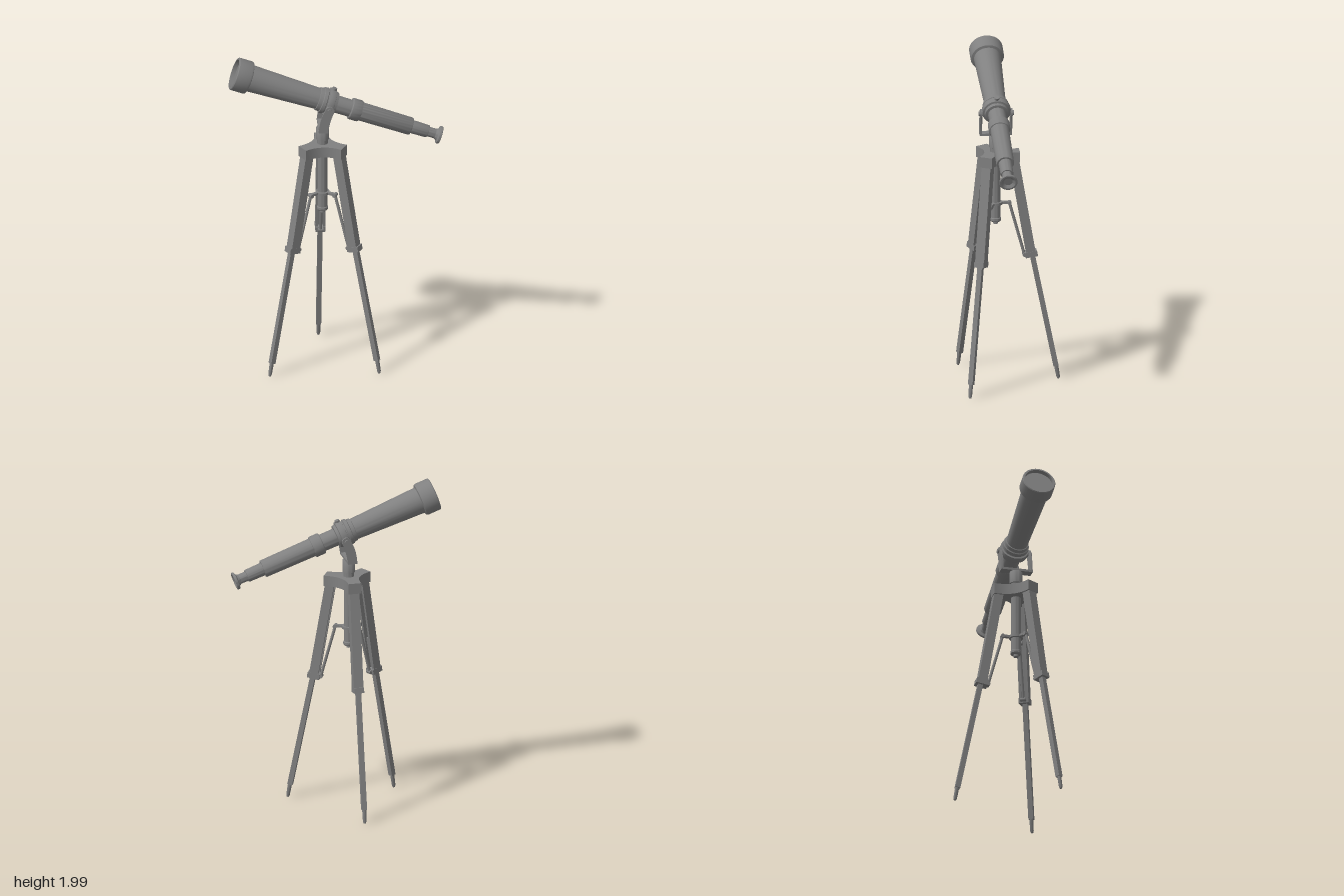
import * as THREE from 'three';
import { toCreasedNormals } from 'three/addons/utils/BufferGeometryUtils.js';

const material = new THREE.MeshStandardMaterial({ color: 0x808080 });

function add(parent, name, geometry, x = 0, y = 0, z = 0) {
  const mesh = new THREE.Mesh(geometry, material);
  mesh.name = name;
  mesh.position.set(x, y, z);
  parent.add(mesh);
  return mesh;
}

function group(parent, name) {
  const g = new THREE.Group();
  g.name = name;
  parent.add(g);
  return g;
}

const box = (x, y, z) => new THREE.BoxGeometry(x, y, z);
const cyl = (top, bottom, h, n = 24) => new THREE.CylinderGeometry(top, bottom, h, n);

// Turned part from [radius, height] pairs, listed from the bottom up
function turned(points, n = 40) {
  const lathe = new THREE.LatheGeometry(points.map(([r, y]) => new THREE.Vector2(r, y)), n);
  return toCreasedNormals(lathe, 0.6);
}

// Pivot group lying between two [z, y] points, its y axis running along them
function strut(parent, name, [z0, y0], [z1, y1]) {
  const g = group(parent, name);
  g.position.set(0, (y0 + y1) / 2, (z0 + z1) / 2);
  g.rotation.x = Math.atan2(z1 - z0, y1 - y0);
  g.userData.length = Math.hypot(z1 - z0, y1 - y0);
  return g;
}

// One leg, leaning out towards local +z
function addLeg(parent, name, angle) {
  const leg = group(parent, name);
  leg.rotation.y = angle;

  // Upper leg: channel open towards the centre
  const upper = strut(leg, 'upperLeg', [0.213, 0.78], [0.107, 1.4]);
  const len = upper.userData.length;
  add(upper, 'outerWall', box(0.058, len, 0.015), 0, 0, 0.02);
  for (const s of [-1, 1]) add(upper, 'sideWall', box(0.014, len, 0.055), s * 0.022, 0, 0);
  add(upper, 'clamp', box(0.06, 0.033, 0.074), 0, -len / 2 + 0.01, 0);

  // Sliding lower leg and foot
  const lower = strut(leg, 'lowerLeg', [0.36, 0.085], [0.175, 1.0]);
  add(lower, 'lowerBar', box(0.03, lower.userData.length, 0.03));
  const foot = strut(leg, 'foot', [0.376, 0.003], [0.359, 0.1]);
  add(foot, 'footPeg', turned([[0, -0.049], [0.007, -0.048], [0.011, -0.035], [0.013, 0.049], [0, 0.049]], 12));

  // Folding brace with a hinge at each end
  const brace = strut(leg, 'brace', [0.172, 0.785], [0.083, 1.11]);
  add(brace, 'braceRod', cyl(0.009, 0.009, brace.userData.length, 10));
  add(leg, 'braceArm', box(0.022, 0.014, 0.06), 0, 1.113, 0.055);
  for (const [y, z] of [[1.11, 0.083], [0.785, 0.172]]) {
    add(leg, 'hinge', cyl(0.012, 0.012, 0.034, 14), 0, y, z).rotation.z = Math.PI / 2;
  }
}

// Three-armed plate with concave sides
function headPlateGeometry() {
  const shape = new THREE.Shape();
  const polar = (r, a) => [r * Math.cos(a), r * Math.sin(a)];
  const reach = Math.hypot(0.143, 0.04), spread = Math.atan2(0.04, 0.143);
  for (let i = 0; i < 3; i++) {
    const a = Math.PI / 2 + i * Math.PI * 2 / 3;
    if (i === 0) shape.moveTo(...polar(reach, a - spread));
    shape.lineTo(...polar(reach, a + spread));
    shape.quadraticCurveTo(...polar(0.03, a + Math.PI / 3), ...polar(reach, a + Math.PI * 2 / 3 - spread));
  }
  const g = new THREE.ExtrudeGeometry(shape, { depth: 0.065, bevelEnabled: false, curveSegments: 12 });
  g.rotateX(-Math.PI / 2);
  return toCreasedNormals(g, 0.5);
}

// Curved side plate of the fork, in the x-y plane
function forkPlateGeometry() {
  const s = new THREE.Shape();
  s.moveTo(-0.028, 1.54);
  s.lineTo(0.028, 1.54);
  s.quadraticCurveTo(0.034, 1.61, 0.064, 1.675);
  s.absarc(0.038, 1.683, 0.027, -0.3, Math.PI - 0.1, false);
  s.quadraticCurveTo(-0.024, 1.63, -0.028, 1.54);
  const g = new THREE.ExtrudeGeometry(s, { depth: 0.012, bevelEnabled: false, curveSegments: 14 });
  g.translate(0, 0, -0.006);
  return toCreasedNormals(g, 0.5);
}

export function createModel() {
  const model = new THREE.Group();
  model.name = 'telescopeOnTripod';
  const stand = group(model, 'stand');
  stand.position.set(-0.083, 0, 0.09);

  // Tripod
  const tripod = group(stand, 'tripod');
  add(tripod, 'headPlate', headPlateGeometry(), 0, 1.37, 0);
  addLeg(tripod, 'backLeg', Math.PI);
  addLeg(tripod, 'frontLeftLeg', Math.PI / 3);
  addLeg(tripod, 'frontRightLeg', -Math.PI / 3);
  add(tripod, 'centreColumn', turned([
    [0, 0.985], [0.015, 0.985], [0.015, 1.0], [0.028, 1.0], [0.033, 1.006], [0.033, 1.02], [0.029, 1.025],
    [0.029, 1.435], [0.032, 1.435], [0.032, 1.46], [0.038, 1.463], [0.038, 1.535], [0.035, 1.54], [0, 1.54],
  ], 28));
  add(tripod, 'braceHub', cyl(0.042, 0.042, 0.016, 28), 0, 1.113, 0);

  // Fork holding the tube
  const fork = group(stand, 'fork');
  add(fork, 'forkBase', box(0.056, 0.014, 0.19), 0, 1.547, 0);
  for (const s of [-1, 1]) {
    add(fork, 'forkPlate', forkPlateGeometry(), 0, 0, s * 0.09);
    add(fork, 'pivotKnob', cyl(0.014, 0.014, 0.03, 18), 0.036, 1.683, s * 0.09).rotation.x = Math.PI / 2;
  }

  // Telescope, running along local +y from objective to eyepiece
  const scope = group(model, 'telescope');
  scope.position.set(-0.608, 1.905, 0.09);
  scope.rotation.z = -Math.PI / 2 - THREE.MathUtils.degToRad(19.8);
  add(scope, 'objectiveCap', turned([
    [0, 0.025], [0.086, 0.025], [0.086, 0], [0.096, 0], [0.1, 0.005],
    [0.1, 0.083], [0.095, 0.094], [0.079, 0.099],
  ]));
  add(scope, 'mainTube', turned([[0.081, 0.09], [0.064, 0.54], [0.064, 0.57]]));
  add(scope, 'saddleRing', turned([
    [0.06, 0.525], [0.07, 0.528], [0.072, 0.55], [0.078, 0.553], [0.08, 0.572], [0.073, 0.576],
    [0.073, 0.582], [0.084, 0.584], [0.086, 0.592], [0.086, 0.612], [0.083, 0.621],
    [0.072, 0.624], [0.068, 0.64], [0.05, 0.643],
  ]));
  add(scope, 'ringScrew', cyl(0.015, 0.015, 0.026, 18), -0.084, 0.602, 0).rotation.z = Math.PI / 2;
  add(scope, 'drawTubes', turned([
    [0.053, 0.63], [0.052, 0.733], [0.061, 0.733], [0.065, 0.738], [0.065, 0.79], [0.061, 0.797], [0.056, 0.798],
    [0.053, 1.113], [0.05, 1.118], [0.04, 1.118], [0.038, 1.218], [0.036, 1.223], [0.03, 1.223], [0.029, 1.275],
  ]));
  // Thin flared eyepiece with a dished face
  add(scope, 'eyepiece', turned([
    [0.029, 1.268], [0.036, 1.282], [0.053, 1.288], [0.054, 1.291], [0.054, 1.3], [0.051, 1.303],
    [0.042, 1.303], [0.026, 1.29], [0, 1.29],
  ]));
  return model;
}
